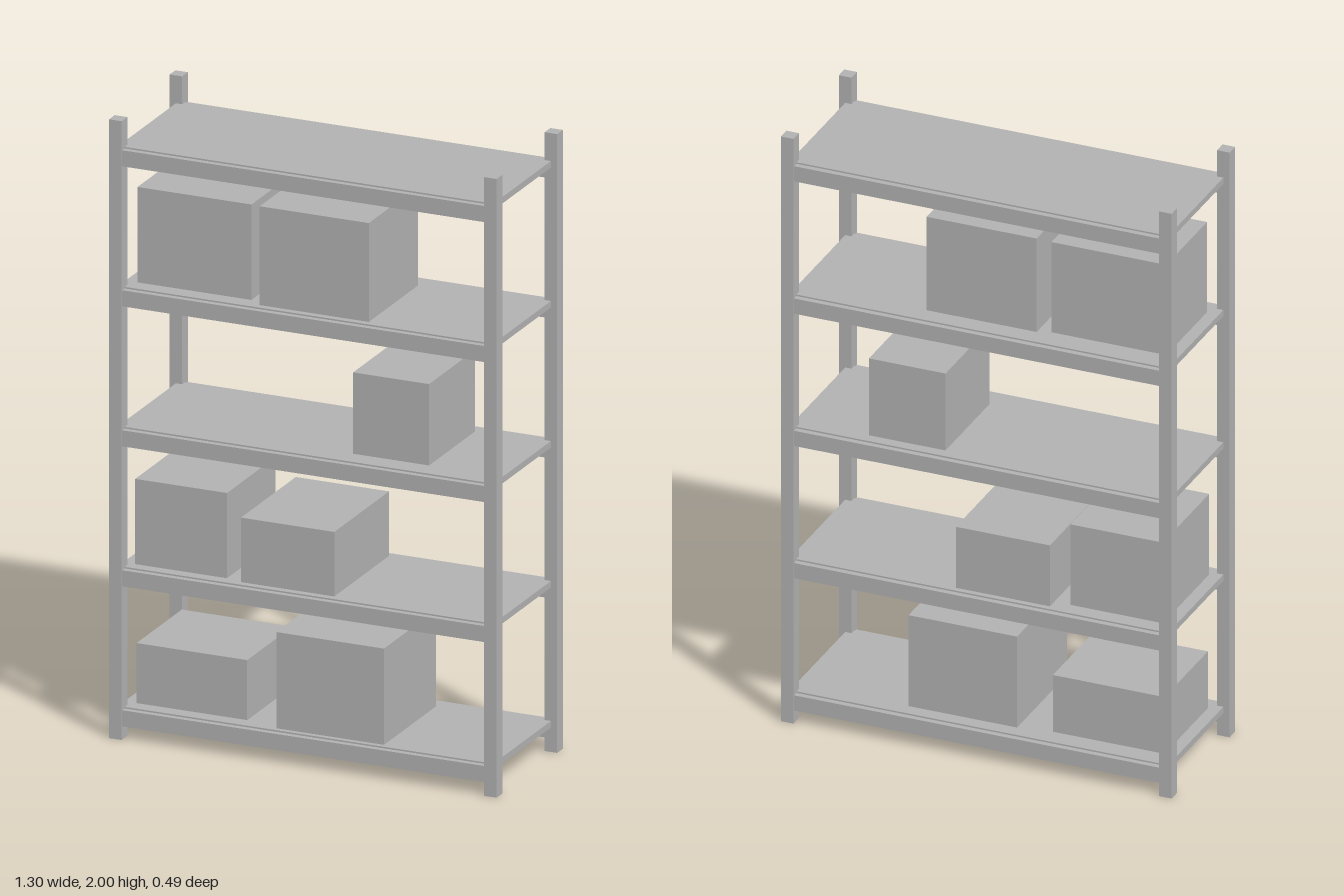
import * as THREE from 'three';

export function createModel() {
  const model = new THREE.Group();
  const grey = new THREE.MeshStandardMaterial({ color: 0xb2b2b2 });
  grey.name = 'grey';

  // Axis-aligned block given by its lower and upper limits
  const block = (name, [x0, x1], [y0, y1], [z0, z1], parent = model) => {
    const mesh = new THREE.Mesh(new THREE.BoxGeometry(x1 - x0, y1 - y0, z1 - z0), grey);
    mesh.position.set((x0 + x1) / 2, (y0 + y1) / 2, (z0 + z1) / 2);
    mesh.name = name;
    parent.add(mesh);
  };

  // Corner posts
  const px = 0.627, pz = 0.222, half = 0.021;
  for (const sx of [-1, 1])
    for (const sz of [-1, 1])
      block('post', [sx * px - half, sx * px + half], [0, 2], [sz * pz - half, sz * pz + half]);

  // Shelves: a thin plate resting in front and back beams, with its cartons.
  // Each carton is [left x, right x, top y, back z, front z].
  const shelves = [
    [[-0.587, -0.217, 0.294, -0.157, 0.175], [-0.106, 0.254, 0.411, -0.175, 0.205]],
    [[-0.587, -0.28, 0.828, -0.169, 0.185], [-0.227, 0.085, 0.761, -0.203, 0.199]],
    [[0.127, 0.381, 1.268, -0.185, 0.153]],
    [[-0.587, -0.206, 1.766, -0.143, 0.168], [-0.164, 0.201, 1.777, -0.159, 0.2]],
    [],
  ];
  shelves.forEach((cartons, i) => {
    const top = 0.1 + i * 0.4525;
    const shelf = new THREE.Group();
    shelf.name = 'shelf';
    model.add(shelf);
    block('shelfPlate', [-0.627, 0.627], [top - 0.021, top], [-0.221, 0.221], shelf);
    block('frontBeam', [-0.608, 0.608], [top - 0.057, top - 0.005], [0.203, 0.239], shelf);
    block('backBeam', [-0.608, 0.608], [top - 0.057, top - 0.005], [-0.239, -0.203], shelf);
    for (const [x0, x1, y1, z0, z1] of cartons)
      block('carton', [x0, x1], [top, y1], [z0, z1], shelf);
  });

  return model;
}
